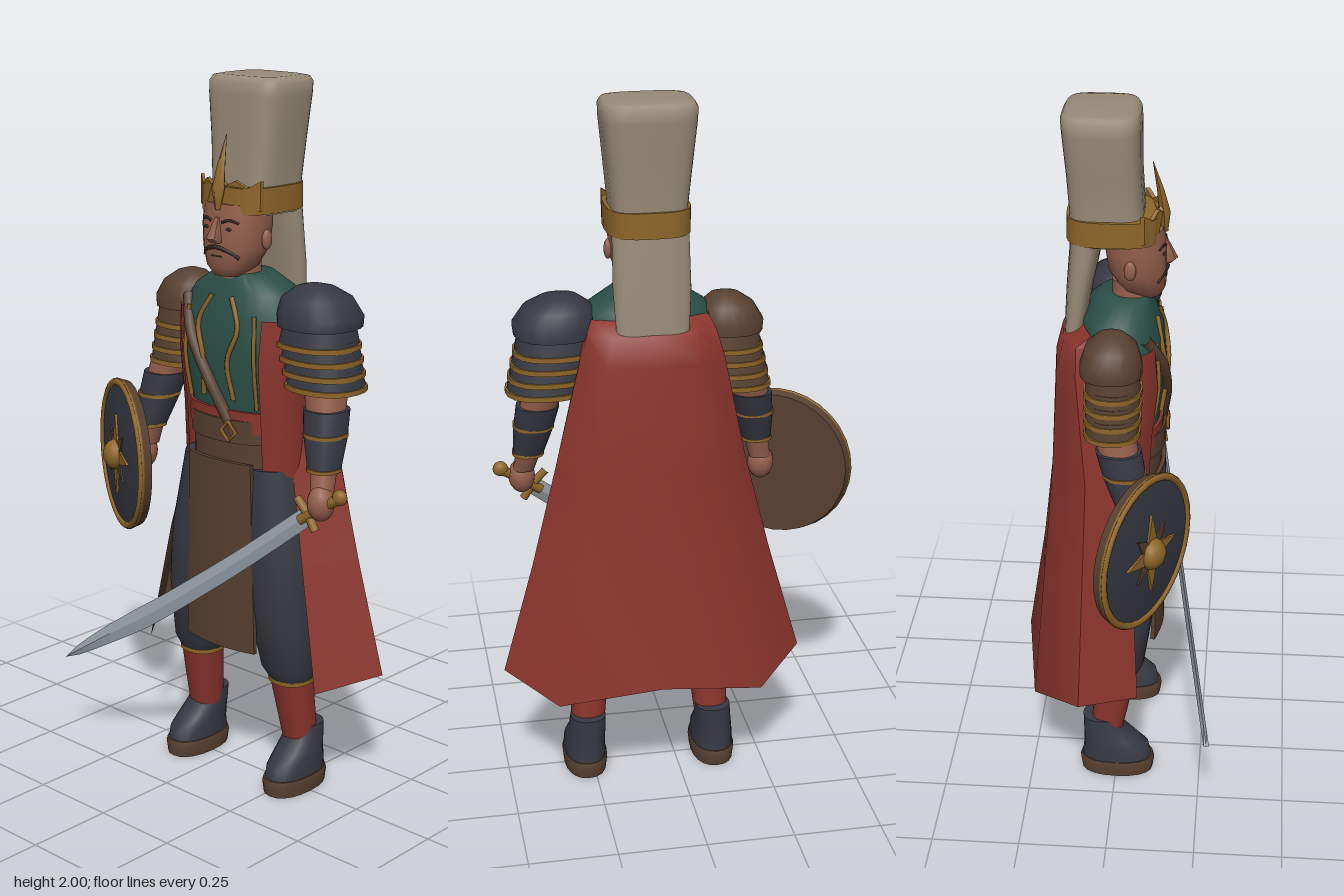
import * as THREE from 'three';
import { toCreasedNormals } from 'three/addons/utils/BufferGeometryUtils.js';

const mat = (name, color) => Object.assign(new THREE.MeshStandardMaterial({ color }), { name });
const M = {
  red: mat('red cloth', 0x8a342c), dark: mat('dark blue steel', 0x373943), brown: mat('brown leather', 0x574030),
  gold: mat('gold trim', 0x8e6629), felt: mat('pale felt', 0x998b78), skin: mat('skin', 0x945f4c),
  green: mat('green tunic', 0x2b4f47), steel: mat('blade steel', 0x939ca5), hair: mat('dark hair', 0x33251f),
};
M.red.side = THREE.DoubleSide;

function add(parent, name, geo, material) {
  const m = new THREE.Mesh(geo, material);
  m.name = name;
  parent.add(m);
  return m;
}

const spow = (v, e) => Math.sign(v) * Math.abs(v) ** e;

// Stack of superellipse rings [y, cx, cz, rx, rz], bottom to top; open when an angle range is given
function loft(rings, { n = 20, p = 2.3, from = 0, to = Math.PI * 2, crease = 0.8 } = {}) {
  const pos = [], idx = [], w = n + 1, closed = to - from > 6.28;
  for (const [y, cx, cz, rx, rz] of rings)
    for (let j = 0; j <= n; j++) {
      const t = from + (to - from) * (closed ? j % n : j) / n;
      pos.push(cx + rx * spow(Math.cos(t), 2 / p), y, cz + rz * spow(Math.sin(t), 2 / p));
    }
  for (let i = 0; i < rings.length - 1; i++)
    for (let j = 0; j < n; j++) {
      const a = i * w + j, c = a + w;
      idx.push(a, c, a + 1, a + 1, c, c + 1);
    }
  if (closed) {
    const last = rings.length - 1, b = pos.length / 3;
    for (const r of [rings[0], rings[last]]) pos.push(r[1], r[0], r[2]);
    for (let j = 0; j < n; j++) idx.push(b, j, j + 1, b + 1, last * w + j + 1, last * w + j);
  }
  const g = new THREE.BufferGeometry();
  g.setAttribute('position', new THREE.Float32BufferAttribute(pos, 3));
  g.setIndex(idx);
  return toCreasedNormals(g, crease);
}

function warp(geo, rule) {
  const a = geo.attributes.position, v = new THREE.Vector3();
  for (let i = 0; i < a.count; i++) {
    rule(v.fromBufferAttribute(a, i));
    a.setXYZ(i, v.x, v.y, v.z);
  }
  geo.computeVertexNormals();
  return geo;
}

const curve = pts => new THREE.CatmullRomCurve3(pts.map(q => new THREE.Vector3(...q)));
const tube = (pts, r, sides = 6) => new THREE.TubeGeometry(curve(pts), 14, r, sides);
const plate = (pts, depth) => new THREE.ExtrudeGeometry(
  new THREE.Shape(pts.map(q => new THREE.Vector2(...q))), { depth, bevelEnabled: false });
const ball = (r, sx, sy, sz) => new THREE.SphereGeometry(r, 14, 10).scale(sx, sy, sz);

const TORSO = [[0.93, 0, 0, 0.16, 0.1], [1.1, 0, 0.005, 0.165, 0.105], [1.25, 0, 0.01, 0.19, 0.118],
  [1.37, 0, 0.005, 0.2, 0.112], [1.43, 0, -0.005, 0.165, 0.1], [1.48, 0, 0.01, 0.08, 0.07]];

// Front surface of the tunic at x, y
function chest(x, y, lift = 0.004) {
  let i = 0;
  while (i < TORSO.length - 2 && TORSO[i + 1][0] < y) i++;
  const a = TORSO[i], b = TORSO[i + 1], k = (y - a[0]) / (b[0] - a[0]);
  const [, , cz, rx, rz] = a.map((v, q) => v + (b[q] - v) * k);
  return [x, y, cz + rz * (1 - Math.min(1, Math.abs(x) / rx) ** 2.3) ** (1 / 2.3) + lift];
}

function buildHead(g) {
  add(g, 'neck', loft([[1.43, 0, 0.03, 0.06, 0.055], [1.52, 0, 0.03, 0.056, 0.055]]), M.skin);
  add(g, 'head', loft([[1.475, 0, 0.075, 0.04, 0.035], [1.5, 0, 0.06, 0.07, 0.062], [1.55, 0, 0.045, 0.09, 0.08],
    [1.61, 0, 0.04, 0.096, 0.084], [1.67, 0, 0.035, 0.096, 0.08]], { crease: 1.2 }), M.skin);
  add(g, 'nose', loft([[1.568, 0, 0.122, 0.018, 0.018], [1.58, 0, 0.13, 0.02, 0.024], [1.635, 0, 0.115, 0.008, 0.01]], { n: 8 }), M.skin);
  add(g, 'moustache', tube([[-0.062, 1.528, 0.1], [-0.045, 1.543, 0.113], [0, 1.556, 0.126], [0.045, 1.543, 0.113], [0.062, 1.528, 0.1]], 0.006), M.hair);
  add(g, 'mouth', new THREE.BoxGeometry(0.036, 0.004, 0.008).translate(0, 1.531, 0.121), M.hair);
  for (const s of [-1, 1]) {
    add(g, 'eyebrow', tube([[s * 0.018, 1.623, 0.121], [s * 0.04, 1.63, 0.116], [s * 0.064, 1.622, 0.103]], 0.004), M.hair);
    add(g, 'eye', ball(0.01, 1.2, 0.45, 0.4), M.hair).position.set(s * 0.038, 1.606, 0.118);
    add(g, 'ear', ball(0.028, 0.4, 1, 0.6), M.skin).position.set(s * 0.097, 1.575, 0.03);
  }
  // Tall felt cap with a flap hanging down the back
  add(g, 'hat', loft([[1.64, 0, -0.035, 0.106, 0.1], [1.72, 0, -0.037, 0.103, 0.1], [1.83, 0, -0.044, 0.114, 0.1],
    [1.95, 0, -0.05, 0.126, 0.105], [1.982, 0, -0.052, 0.127, 0.105], [1.996, 0, -0.052, 0.119, 0.097],
    [2, 0, -0.052, 0.1, 0.08]], { n: 36, p: 4, crease: 1.1 }), M.felt);
  add(g, 'hatFlap', loft([[1.355, 0, -0.128, 0.098, 0.028], [1.5, 0, -0.112, 0.106, 0.036], [1.655, 0, -0.09, 0.104, 0.046]], { n: 24, p: 2.6 }), M.felt);
  add(g, 'hatBand', loft([[1.645, 0, -0.02, 0.114, 0.126], [1.715, 0, -0.02, 0.114, 0.126]], { n: 28, p: 3.2 }), M.gold);
  const crown = plate([[-0.108, 1.655], [-0.06, 1.65], [0, 1.635], [0.06, 1.65], [0.108, 1.655], [0.108, 1.735], [0.08, 1.715],
    [0.05, 1.735], [0.025, 1.72], [0, 1.745], [-0.025, 1.72], [-0.05, 1.735], [-0.08, 1.715], [-0.108, 1.735]], 0.012);
  add(g, 'hatCrest', warp(crown, v => { v.z += 0.104 - v.x * v.x * 4; }), M.gold);
  add(g, 'crestPlume', loft([[1.655, 0, 0.118, 0.008, 0.008], [1.71, 0, 0.116, 0.022, 0.016], [1.77, 0, 0.105, 0.014, 0.01],
    [1.85, 0, 0.084, 0.001, 0.001]], { n: 8, p: 1.6 }), M.gold);
}

function buildTorso(g) {
  add(g, 'tunic', loft(TORSO, { n: 32, crease: 1.1 }), M.green);
  // Sleeveless vest, open at the front
  const vest = [[0.93, 0, 0, 0.2, 0.108], [1.1, 0, 0.005, 0.2, 0.114], [1.25, 0, 0.01, 0.205, 0.127], [1.37, 0, 0.005, 0.21, 0.121]];
  add(g, 'vest', loft(vest, { n: 30, from: Math.PI / 2 + 0.7, to: Math.PI * 2.5 - 0.7 }), M.red);
  add(g, 'sash', loft([[1.05, 0, 0.005, 0.172, 0.117], [1.11, 0, 0.005, 0.174, 0.116]], { n: 28 }), M.red);
  add(g, 'belt', loft([[1.02, 0, 0.004, 0.16, 0.123], [1.085, 0, 0.004, 0.16, 0.124]], { n: 28 }), M.brown);
  add(g, 'waistLeather', loft([[0.92, 0, 0, 0.156, 0.117], [1.03, 0, 0, 0.158, 0.117]], { n: 28 }), M.brown);
  add(g, 'strap', tube([[-0.15, 1.4], [-0.1, 1.31], [-0.03, 1.2], [0.02, 1.11], [0.06, 1.04]].map(q => chest(...q, 0.006)), 0.017, 8), M.brown);
  const buckle = add(g, 'buckle', new THREE.TorusGeometry(0.027, 0.006, 6, 4), M.gold);
  buckle.position.set(0.05, 1.055, 0.13);
  for (const s of [-1, 1]) {
    add(g, 'chestTrim', tube([[s * 0.035, 1.42], [s * 0.072, 1.34], [s * 0.045, 1.25], [s * 0.055, 1.14]].map(q => chest(...q)), 0.007), M.gold);
    add(g, 'vestTrim', tube([[s * 0.12, 1.38], [s * 0.127, 1.25], [s * 0.122, 1.12]].map(q => chest(...q, 0.008)), 0.006), M.gold);
  }
  const apron = new THREE.BoxGeometry(1, 0.55, 0.012, 10, 4, 1);
  add(g, 'apron', warp(apron, v => {
    v.x *= 0.243 - v.y * 0.05;
    v.y += 0.69;
    v.z += 0.122 - v.x * v.x * 1.2;
  }), M.brown);
}

function buildArm(g, s) {
  const big = s > 0, plateMat = big ? M.dark : M.brown, hz = big ? 0.085 : 0.062;
  add(g, 'arm', loft([[0.93, s * 0.34, hz - 0.01, 0.03, 0.03], [1.0, s * 0.325, 0.05, 0.035, 0.036], [1.1, s * 0.308, 0.025, 0.05, 0.052],
    [1.2, s * 0.285, 0, 0.055, 0.058], [1.4, s * 0.22, 0, 0.06, 0.06]]), M.skin);
  add(g, 'hand', ball(0.04, 0.95, 1.25, 0.95), M.skin).position.set(s * 0.345, 0.905, hz);
  add(g, 'bracer', loft([[0.985, s * 0.328, 0.054, 0.042, 0.044], [1.07, s * 0.314, 0.033, 0.055, 0.058],
    [1.145, s * 0.301, 0.015, 0.06, 0.062]]), M.dark);
  for (const [y, x, z, r] of [[0.985, 0.328, 0.054, 0.045], [1.075, 0.313, 0.032, 0.058]])
    add(g, 'bracerBand', loft([[y, s * x, z, r, r + 0.002], [y + 0.01, s * x, z, r, r + 0.002]]), M.gold);
  // Domed shoulder plate above overlapping trimmed bands
  const cx = big ? 0.253 : -0.236, r = big ? 0.115 : 0.09, rz = big ? 0.108 : 0.084, top = big ? 1.47 : 1.452;
  add(g, 'shoulderDome', loft([[top - 0.11, cx, -0.01, r * 0.97, rz], [top - 0.08, cx, -0.01, r, rz], [top - 0.035, cx - s * 0.01, -0.01, r * 0.82, rz * 0.82],
    [top - 0.008, cx - s * 0.016, -0.01, r * 0.45, rz * 0.45], [top, cx - s * 0.018, -0.01, r * 0.15, rz * 0.15]], { crease: 1.2 }), plateMat);
  for (let k = 0; k < 4; k++) {
    const y = top - 0.14 - k * 0.037, x = cx + s * 0.009 * k, q = 0.97 - k * 0.01;
    add(g, 'shoulderBand', loft([[y - 0.02, x, -0.005, r * q, rz * q * 0.94], [y + 0.035, x, -0.005, r * q * 0.9, rz * q * 0.84]]), plateMat);
    add(g, 'shoulderBandTrim', loft([[y - 0.026, x, -0.005, r * q + 0.004, rz * q * 0.94 + 0.004],
      [y - 0.012, x, -0.005, r * q + 0.004, rz * q * 0.94 + 0.004]]), M.gold);
  }
}

function buildLeg(g, s) {
  add(g, 'trouserLeg', loft([[0.33, s * 0.174, 0, 0.06, 0.058], [0.37, s * 0.17, 0.005, 0.078, 0.075], [0.55, s * 0.152, 0.01, 0.1, 0.098],
    [0.72, s * 0.132, 0.01, 0.103, 0.105], [0.95, s * 0.098, 0, 0.095, 0.1]]), M.dark);
  add(g, 'kneeTrim', loft([[0.322, s * 0.174, 0, 0.063, 0.061], [0.334, s * 0.174, 0, 0.063, 0.061]]), M.gold);
  add(g, 'sock', loft([[0.13, s * 0.185, -0.03, 0.047, 0.047], [0.23, s * 0.18, -0.015, 0.053, 0.053], [0.33, s * 0.174, 0, 0.059, 0.058]]), M.red);
  add(g, 'boot', loft([[0.04, s * 0.192, 0.002, 0.06, 0.104], [0.08, s * 0.192, 0, 0.059, 0.097], [0.115, s * 0.19, -0.02, 0.056, 0.076],
    [0.145, s * 0.188, -0.038, 0.053, 0.06], [0.185, s * 0.186, -0.045, 0.051, 0.054]], { crease: 1.1 }), M.dark);
  add(g, 'sole', loft([[0, s * 0.192, 0.003, 0.061, 0.106], [0.035, s * 0.192, 0.003, 0.065, 0.111], [0.048, s * 0.192, 0.003, 0.062, 0.107]]), M.brown);
}

// Half rows of [x, z] from the front edge to the middle of the back; the hem has its own heights
function buildCape(g) {
  const hem = [0.34, 0.38, 0.325, 0.375];
  const rows = [[1.41, [0.17, -0.03], [0.16, -0.07], [0.11, -0.09], [0, -0.1]], [1.38, [0.175, -0.05], [0.175, -0.11], [0.115, -0.148], [0, -0.162]],
    [1.3, [0.185, -0.03], [0.2, -0.11], [0.13, -0.168], [0, -0.182]], [1, [0.18, 0.02], [0.265, -0.08], [0.175, -0.18], [0, -0.192]],
    [0.7, [0.25, 0.05], [0.34, -0.085], [0.23, -0.202], [0, -0.225]], [0, [0.32, 0.07], [0.43, -0.09], [0.29, -0.23], [0, -0.275]]];
  const pos = [], outer = [], inner = [];
  for (const [y, ...half] of rows)
    for (let c = 0; c < 7; c++) {
      const k = c < 4 ? c : 6 - c;
      pos.push(half[k][0] * (c < 3 ? -1 : 1), y || hem[k], half[k][1]);
    }
  for (let i = 0; i < rows.length - 1; i++)
    for (let c = 0; c < 6; c++) {
      const a = i * 7 + c, d = a + 7;
      outer.push(a, a + 1, d, a + 1, d + 1, d);
      inner.push(a, d, a + 1, a + 1, d, d + 1);
    }
  for (const [name, idx, m] of [['cape', outer, M.red], ['capeLining', inner, M.brown]]) {
    const geo = new THREE.BufferGeometry();
    geo.setAttribute('position', new THREE.Float32BufferAttribute(pos, 3));
    geo.setIndex(idx);
    const cloth = add(g, name, toCreasedNormals(geo, 0.9), m);
    if (m === M.brown) {
      cloth.scale.x = 0.985;
      cloth.position.z = 0.004;
    }
  }
}

function buildShield(g) {
  const star = (r, turn) => plate(Array.from({ length: 8 }, (_, i) => {
    const a = turn + i * Math.PI / 4, q = i % 2 ? 0.036 : r;
    return [q * Math.cos(a), q * Math.sin(a)];
  }), 0.008);
  add(g, 'shieldBack', new THREE.CylinderGeometry(0.222, 0.212, 0.032, 32).rotateX(Math.PI / 2), M.brown);
  const face = [[0.206, 0.016], [0.15, 0.024], [0.08, 0.029], [0, 0.031]].map(q => new THREE.Vector2(...q));
  add(g, 'shieldFace', new THREE.LatheGeometry(face, 32).rotateX(Math.PI / 2), M.dark);
  add(g, 'shieldRim', new THREE.TorusGeometry(0.211, 0.011, 8, 32), M.gold).position.z = 0.014;
  add(g, 'shieldStarDiagonal', star(0.095, Math.PI / 4), M.brown).position.z = 0.025;
  add(g, 'shieldStar', star(0.12, 0), M.gold).position.z = 0.027;
  add(g, 'shieldBoss', ball(0.044, 1, 1, 0.8), M.gold).position.z = 0.035;
  g.position.set(-0.317, 0.89, 0.085);
  g.rotation.y = -0.5;
}

function buildSword(g) {
  // Depth grows steadily from the guard to the tip
  const at = (x, y) => [x, y, 0.1 + 0.175 * ((0.39 - x) * 0.832 + (0.868 - y) * 0.618)];
  // Curved blade swept as a thin diamond section that narrows to the point
  const spine = curve([[0.395, 0.868, 0], [0.2, 0.708, 0], [0.06, 0.6, 0], [-0.1, 0.482, 0], [-0.257, 0.378, 0], [-0.385, 0.29, 0]]);
  const blade = new THREE.CylinderGeometry(1, 1, 1, 4, 16);
  add(g, 'swordBlade', toCreasedNormals(warp(blade, v => {
    const t = 0.5 - v.y, c = spine.getPoint(t), d = spine.getTangent(t);
    const w = v.x * (t < 0.65 ? 0.026 + 0.008 * t : 0.031 * Math.sqrt((1.001 - t) / 0.35));
    v.set(c.x - d.y * w, c.y + d.x * w, at(c.x, c.y)[2] + v.z * 0.008);
  }), 0.3), M.steel);
  add(g, 'swordGrip', tube([at(0.37, 0.85), at(0.43, 0.895), at(0.49, 0.932)], 0.015, 8), M.gold);
  add(g, 'swordPommel', ball(0.022, 1, 1, 0.8), M.gold).position.set(...at(0.485, 0.932));
  add(g, 'swordGuard', tube([at(0.355, 0.91), at(0.39, 0.872), at(0.42, 0.828)], 0.012, 8), M.gold);
}

export function createModel() {
  const root = new THREE.Group();
  root.name = 'warrior';
  const part = (name, build, ...args) => {
    const g = new THREE.Group();
    g.name = name;
    build(g, ...args);
    root.add(g);
    return g;
  };
  const body = [part('headAndHat', buildHead), part('torso', buildTorso), part('capeGroup', buildCape)];
  for (const s of [-1, 1]) {
    const side = s > 0 ? 'left' : 'right';
    body.push(part(side + 'Arm', buildArm, s), part(side + 'Leg', buildLeg, s));
  }
  for (const g of body) g.position.x = 0.08;
  part('shield', buildShield);
  part('sword', buildSword);
  return root;
}
